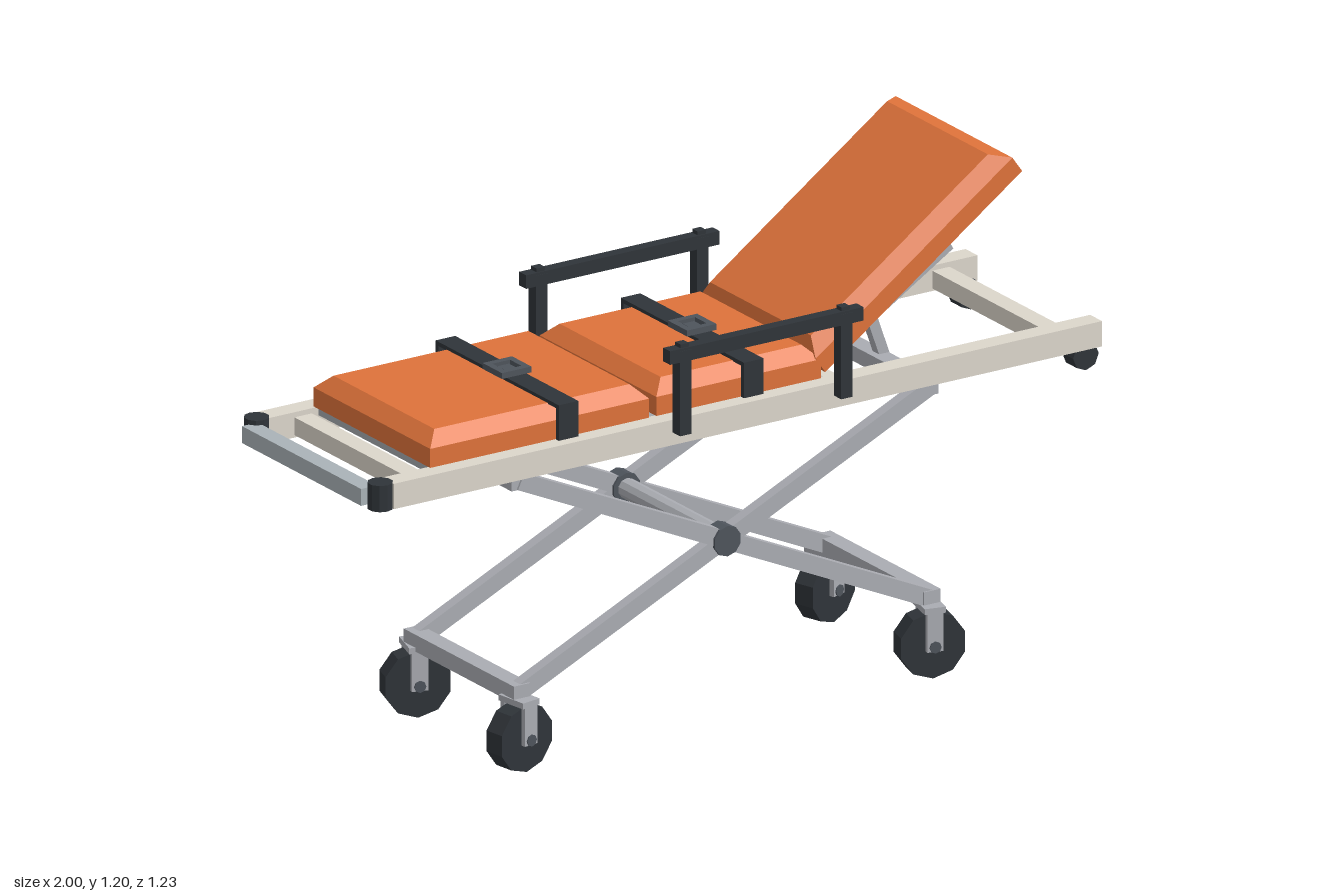
import * as THREE from 'three';

const mat = (color) => new THREE.MeshStandardMaterial({ color, flatShading: true });
const orange = mat(0xde723a), railPaint = mat(0xdcd6cb), steel = mat(0xaaacb2);
const dark = mat(0x2f3439), panelGrey = mat(0xa3a8ad), boltGrey = mat(0x4e545c), barGrey = mat(0xa9b2b7);

function add(parent, name, geometry, material, x = 0, y = 0, z = 0) {
  const mesh = new THREE.Mesh(geometry, material);
  mesh.name = name;
  mesh.position.set(x, y, z);
  parent.add(mesh);
  return mesh;
}

function addGroup(parent, name, x = 0, y = 0, z = 0) {
  const group = new THREE.Group();
  group.name = name;
  group.position.set(x, y, z);
  parent.add(group);
  return group;
}

const box = (parent, name, material, w, h, d, x, y, z) =>
  add(parent, name, new THREE.BoxGeometry(w, h, d), material, x, y, z);

// Cylinder lying along z
function axle(parent, name, material, r, length, sides, x, y, z) {
  const g = new THREE.CylinderGeometry(r, r, length, sides).rotateX(Math.PI / 2);
  return add(parent, name, g, material, x, y, z);
}

// Square bar between two points of a plane z = const
function bar(parent, name, material, x0, y0, x1, y1, z, h, d) {
  const m = box(parent, name, material, Math.hypot(x1 - x0, y1 - y0), h, d, (x0 + x1) / 2, (y0 + y1) / 2, z);
  m.rotation.z = Math.atan2(y1 - y0, x1 - x0);
  return m;
}

// Pad with upright lower sides and a sloped upper edge
function cushion(parent, name, length, x, y) {
  const h = 0.076, width = 0.47, inset = 0.032;
  const g = new THREE.BoxGeometry(length, h, width, 1, 2, 1).toNonIndexed();
  const p = g.attributes.position;
  for (let i = 0; i < p.count; i++) {
    const py = p.getY(i);
    if (py > 0.01) {
      p.setX(i, p.getX(i) - Math.sign(p.getX(i)) * inset);
      p.setZ(i, p.getZ(i) - Math.sign(p.getZ(i)) * inset);
    } else if (py > -0.01) p.setY(i, 0.007);
  }
  g.computeVertexNormals();
  return add(parent, name, g, orange, x, y + h / 2, 0);
}

function caster(parent, x, z, yaw) {
  const c = addGroup(parent, 'caster', x, 0, z);
  c.rotation.y = yaw;
  axle(c, 'wheel', dark, 0.079, 0.05, 10, 0, 0.077, 0);
  axle(c, 'wheelAxle', boltGrey, 0.014, 0.086, 8, 0, 0.077, 0);
  for (const s of [-1, 1]) box(c, 'forkPlate', steel, 0.038, 0.094, 0.012, 0, 0.113, s * 0.034);
  box(c, 'forkTop', steel, 0.05, 0.014, 0.08, 0, 0.163, 0);
}

function strap(parent, x) {
  const s = addGroup(parent, 'strap', x);
  box(s, 'strapTop', dark, 0.052, 0.01, 0.496, 0, 0.849, 0);
  for (const k of [-1, 1]) box(s, 'strapSide', dark, 0.052, 0.085, 0.012, 0, 0.8115, k * 0.242);
  // Square buckle frame with its tongue
  for (const k of [-1, 1]) {
    box(s, 'buckleEdge', boltGrey, 0.078, 0.014, 0.016, 0, 0.861, k * 0.031);
    box(s, 'buckleEdge', boltGrey, 0.016, 0.014, 0.046, k * 0.031, 0.861, 0);
  }
  box(s, 'buckleTongue', boltGrey, 0.03, 0.01, 0.03, 0, 0.858, 0);
}

export function createModel() {
  const model = new THREE.Group();
  const cot = addGroup(model, 'stretcher');
  cot.rotation.y = THREE.MathUtils.degToRad(22);

  // Main frame: two long rails, cross members, foot handle
  for (const s of [-1, 1]) {
    box(cot, 'sideRail', railPaint, 1.882, 0.06, 0.048, 0.028, 0.74, s * 0.251);
    add(cot, 'railCap', new THREE.CylinderGeometry(0.029, 0.029, 0.062, 10), dark, -0.932, 0.74, s * 0.249);
    box(cot, 'loadWheelBracket', boltGrey, 0.035, 0.03, 0.03, 0.94, 0.703, s * 0.232);
    axle(cot, 'loadWheel', dark, 0.034, 0.044, 8, 0.94, 0.687, s * 0.232);
  }
  for (const [x, y] of [[-0.823, 0.737], [0.3, 0.728], [0.872, 0.737]])
    box(cot, 'crossMember', railPaint, 0.046, 0.042, 0.47, x, y, 0);
  box(cot, 'footHandle', barGrey, 0.042, 0.04, 0.48, -0.956, 0.74, 0);

  // Bed deck and flat pads
  box(cot, 'deck', panelGrey, 1.04, 0.02, 0.46, -0.262, 0.76, 0);
  cushion(cot, 'footCushion', 0.582, -0.499, 0.77);
  cushion(cot, 'seatCushion', 0.438, 0.03, 0.77);
  strap(cot, -0.431);
  strap(cot, 0.061);

  // Raised backrest, hinged at the end of the seat
  const back = addGroup(cot, 'backrest', 0.26, 0.782, 0);
  back.rotation.z = THREE.MathUtils.degToRad(35.2);
  cushion(back, 'backCushion', 0.64, 0.32, 0);
  box(back, 'backPanel', panelGrey, 0.62, 0.014, 0.43, 0.32, -0.007, 0);
  for (const s of [-1, 1]) {
    bar(back, 'backRib', steel, 0.08, -0.026, 0.425, -0.048, s * 0.16, 0.024, 0.026);
    box(back, 'ribMount', steel, 0.026, 0.04, 0.026, 0.412, -0.032, s * 0.16);
  }
  bar(cot, 'backStrut', steel, 0.482, 0.925, 0.565, 0.69, 0, 0.026, 0.026);

  // Side guards
  for (const s of [-1, 1]) {
    const guard = addGroup(cot, 'sideGuard');
    box(guard, 'guardBar', dark, 0.514, 0.032, 0.028, 0.059, 0.93, s * 0.29);
    for (const x of [-0.157, 0.271]) {
      box(guard, 'guardPost', dark, 0.03, 0.2, 0.03, x, 0.84, s * 0.29);
      box(guard, 'guardPostTip', dark, 0.022, 0.03, 0.022, x, 0.94, s * 0.29);
    }
  }

  // Scissor undercarriage: the legs of each side cross in one plane
  const base = addGroup(cot, 'undercarriage', 0.008);
  for (const s of [-1, 1]) {
    bar(base, 'fallingLeg', steel, -0.545, 0.68, 0.545, 0.18, s * 0.203, 0.04, 0.03);
    bar(base, 'risingLeg', steel, 0.545, 0.68, -0.545, 0.18, s * 0.203, 0.04, 0.028);
    axle(base, 'pivotBolt', boltGrey, 0.036, 0.042, 10, 0, 0.43, s * 0.203);
    box(base, 'upperCrossBar', steel, 0.044, 0.036, 0.426, s * 0.545, 0.678, 0);
    box(base, 'lowerCrossBar', steel, 0.044, 0.04, 0.444, s * 0.545, 0.181, 0);
  }
  axle(base, 'pivotRod', steel, 0.024, 0.4, 10, 0, 0.43, 0);

  // Swivel casters, each turned a little differently
  for (const [x, z, turn] of [[0.545, 0.21, -14], [-0.545, 0.21, 9], [0.545, -0.21, 18], [-0.545, -0.21, -17]])
    caster(base, x, z, THREE.MathUtils.degToRad(turn));

  return model;
}
